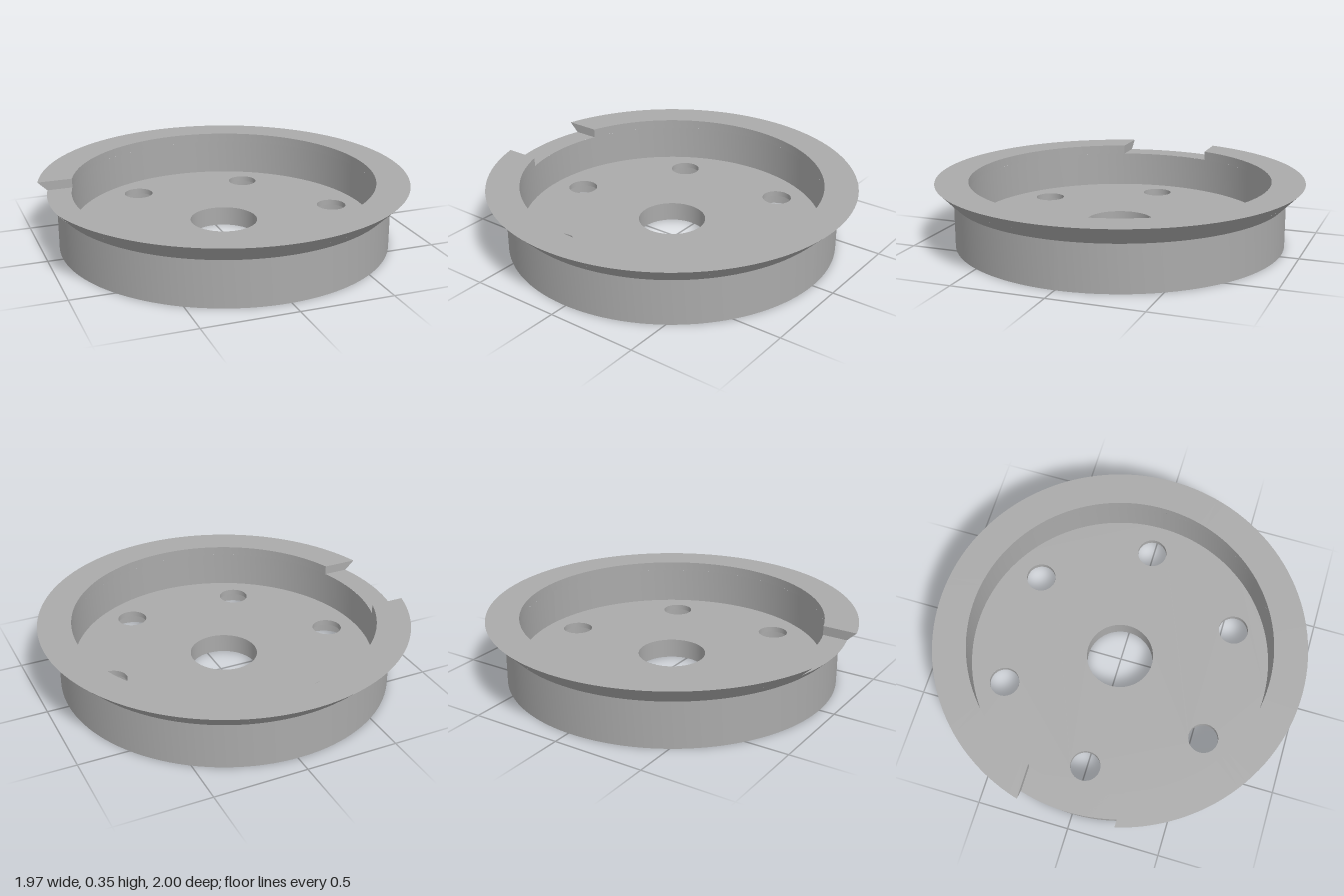
import * as THREE from 'three';

const STEPS = 120;
const FLOOR = 0.105, BORE = 0.075, STEP = 0.3, TOP = 0.35; // heights
const NOTCH = 0.257;                                      // half width of the rim notch
const metal = new THREE.MeshStandardMaterial({ color: 0xaaaaaa });
metal.name = 'plain grey';

const full = [() => 0, () => Math.PI * 2];
const notchAngle = r => Math.asin(NOTCH / r);
const rimRange = [r => notchAngle(r) - Math.PI, r => Math.PI - notchAngle(r)];
const notchRange = [r => Math.PI - notchAngle(r), r => Math.PI + notchAngle(r)];

function geometry(points, index) {
  const g = new THREE.BufferGeometry();
  g.setAttribute('position', new THREE.Float32BufferAttribute(points, 3));
  g.setIndex(index);
  g.computeVertexNormals();
  return g;
}

// Sweeps the segment p-q ([radius, height]) between two radius-dependent angles
function ribbon(p, q, [from, to]) {
  const points = [], index = [];
  for (let i = 0; i <= STEPS; i++) {
    for (const [r, y] of [p, q]) {
      const a = from(r) + (to(r) - from(r)) * i / STEPS;
      points.push(r * Math.cos(a), y, -r * Math.sin(a));
    }
    const k = i * 2;
    if (i < STEPS) index.push(k, k + 2, k + 1, k + 1, k + 2, k + 3);
  }
  return geometry(points, index);
}

// Group of ribbons along a profile, with sharp edges between them
function sweep(name, profile, range = full) {
  const part = new THREE.Group();
  part.name = name;
  for (let i = 1; i < profile.length; i++) {
    const mesh = new THREE.Mesh(ribbon(profile[i - 1], profile[i], range), metal);
    mesh.name = name + 'Face' + i;
    part.add(mesh);
  }
  return part;
}

const boltCentres = Array.from({ length: 6 }, (_, i) =>
  [0.652 * Math.cos(i * Math.PI / 3), 0.652 * Math.sin(i * Math.PI / 3)]);

// Flat disc pierced by the centre hole and the six bolt holes
function disc(name, radius, holeRadius, y, up) {
  const shape = new THREE.Shape().absarc(0, 0, radius, 0, Math.PI * 2);
  shape.holes.push(new THREE.Path().absarc(0, 0, 0.183, 0, Math.PI * 2, true));
  for (const [x, z] of boltCentres)
    shape.holes.push(new THREE.Path().absarc(x, z, holeRadius, 0, Math.PI * 2, true));
  const g = new THREE.ShapeGeometry(shape, STEPS);
  g.rotateX(up ? -Math.PI / 2 : Math.PI / 2);
  const mesh = new THREE.Mesh(g, metal);
  mesh.name = name;
  mesh.position.y = y;
  return mesh;
}

export function createModel() {
  const model = new THREE.Group();
  model.name = 'flangedHub';
  const body = new THREE.Group();
  body.name = 'hubBody';
  body.position.x = -0.0175; // the notch shortens the -x side
  model.add(body);

  // Drum, flare and recess
  body.add(
    sweep('outerWall', [[0.9, 0], [0.9, 0.25], [0.95, STEP]]),
    sweep('recessWall', [[0.82, STEP], [0.82, FLOOR]]),
    sweep('upperRim', [[0.95, STEP], [1, TOP], [0.82, TOP], [0.82, STEP]], rimRange),
    sweep('notchFloor', [[0.95, STEP], [0.82, STEP]], notchRange),
    disc('underside', 0.9, 0.14, 0, false),
    disc('recessFloor', 0.82, 0.081, FLOOR, true),
    sweep('centreHole', [[0.183, FLOOR], [0.183, 0]]));

  // Flat ends of the rim on either side of the notch
  for (const side of [1, -1]) {
    const points = [[0.82, STEP], [0.95, STEP], [1, TOP], [0.82, TOP]]
      .flatMap(([r, y]) => [-Math.sqrt(r * r - NOTCH * NOTCH), y, side * NOTCH]);
    const index = side > 0 ? [0, 1, 2, 0, 2, 3] : [0, 2, 1, 0, 3, 2];
    const end = new THREE.Mesh(geometry(points, index), metal);
    end.name = side > 0 ? 'notchEndFront' : 'notchEndBack';
    body.add(end);
  }

  // Bolt holes, counterbored from below
  for (const [x, z] of boltCentres) {
    const hole = sweep('boltHole', [[0.081, FLOOR], [0.081, BORE], [0.14, BORE], [0.14, 0]]);
    hole.position.set(x, 0, z);
    body.add(hole);
  }
  return model;
}
